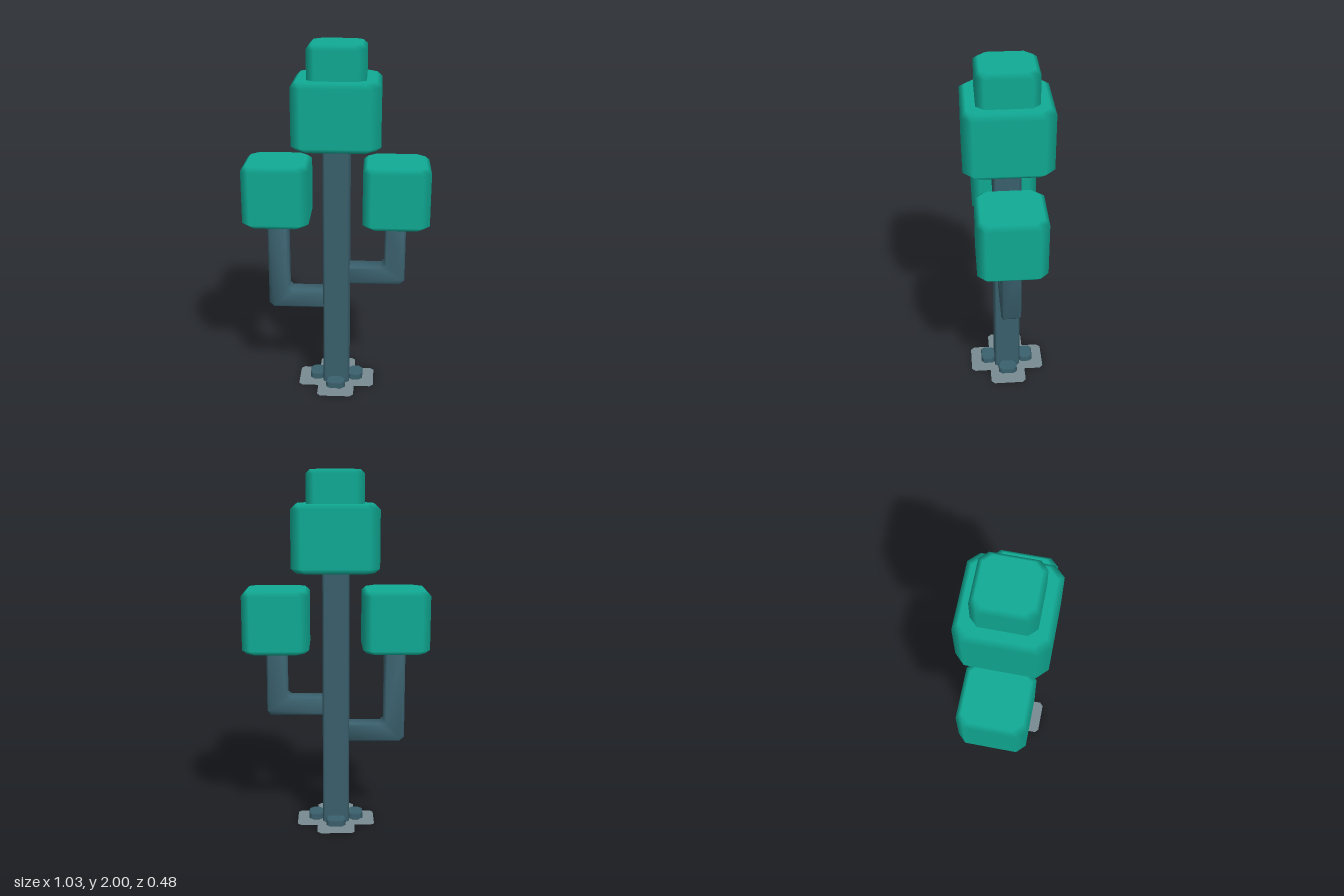
import * as THREE from 'three';
import { toCreasedNormals } from 'three/addons/utils/BufferGeometryUtils.js';

// Block with cut corners (c) in plan and bevelled top and bottom edges (e).
// Normals follow the six main faces, so the bevels shade softly.
function block(w, d, y0, y1, c, e) {
  const pos = [], nor = [], idx = [];
  const rings = [[y0, e, -1], [y0 + e, 0, 0], [y1 - e, 0, 0], [y1, e, 1]];
  for (const [y, inset, ny] of rings) {
    const a = w - inset, b = d - inset;
    const plan = [
      [a, c - b, 1, 0], [a, b - c, 1, 0], [a - c, b, 0, 1], [c - a, b, 0, 1],
      [-a, b - c, -1, 0], [-a, c - b, -1, 0], [c - a, -b, 0, -1], [a - c, -b, 0, -1],
    ];
    for (const [x, z, nx, nz] of plan) {
      pos.push(x, y, z);
      if (ny) nor.push(0, ny, 0);
      else nor.push(nx, 0, nz);
    }
  }
  for (let r = 0; r < 3; r++) {
    for (let i = 0; i < 8; i++) {
      const j = (i + 1) % 8, p = r * 8 + i, q = r * 8 + j;
      idx.push(p, p + 8, q + 8, p, q + 8, q);
    }
  }
  for (let i = 1; i < 7; i++) idx.push(0, i, i + 1, 24, 24 + i + 1, 24 + i);
  const g = new THREE.BufferGeometry();
  g.setAttribute('position', new THREE.Float32BufferAttribute(pos, 3));
  g.setAttribute('normal', new THREE.Float32BufferAttribute(nor, 3));
  g.setIndex(idx);
  return g;
}

// Elbow branch: leaves the trunk sideways at height y, then turns upward.
function branchGeometry(side, y) {
  const bevel = 0.01, inner = 0.272, outer = 0.388, h = 0.105, top = 1.05;
  const pts = [
    [0.04, y], [outer - 0.025, y], [outer, y + 0.025], [outer, top],
    [inner, top], [inner, y + h + 0.018], [inner - 0.018, y + h], [0.04, y + h],
  ].map(([x, v]) => new THREE.Vector2(side * x, v));
  const depth = 0.108 - 2 * bevel;
  const g = new THREE.ExtrudeGeometry(new THREE.Shape(pts), {
    depth, bevelEnabled: true, bevelSize: bevel, bevelOffset: -bevel,
    bevelThickness: bevel, bevelSegments: 1,
  });
  g.translate(0, 0, -depth / 2);
  return toCreasedNormals(g, 0.9);
}

// Flat cross with clipped lobe corners.
function crossGeometry(a, b, c) {
  const pts = [];
  for (let k = 0; k < 4; k++) {
    for (const [x, y] of [[b, -b], [a - c, -b], [a, c - b], [a, b - c], [a - c, b]]) {
      pts.push(new THREE.Vector2(x, y).rotateAround(new THREE.Vector2(), k * Math.PI / 2));
    }
  }
  return new THREE.ShapeGeometry(new THREE.Shape(pts)).rotateX(-Math.PI / 2);
}

export function createModel() {
  const model = new THREE.Group();
  model.name = 'blockTree';
  const material = (name, color, side = THREE.FrontSide) => {
    const m = new THREE.MeshStandardMaterial({ color, side });
    m.name = name;
    return m;
  };
  const leaf = material('teal leaves', 0x10aa94);
  const bark = material('slate bark', 0x3a606d);
  const ground = material('pale slate ground', 0x788b92, THREE.DoubleSide);
  const add = (name, geometry, mat, x = 0, y = 0, z = 0) => {
    const mesh = new THREE.Mesh(geometry, mat);
    mesh.name = name;
    mesh.position.set(x, y, z);
    model.add(mesh);
    return mesh;
  };

  // Trunk
  add('trunk', block(0.075, 0.076, 0.005, 1.5, 0.012, 0.004), bark);

  // Branches, the right one leaving lower, each with its leaf cube
  for (const [label, side, y] of [['left', 1, 0.64], ['right', -1, 0.485]]) {
    add(label + 'Branch', branchGeometry(side, y), bark);
    add(label + 'Leaves', block(0.183, 0.184, 1.01, 1.355, 0.045, 0.024), leaf, side * 0.33);
  }

  // Crown
  add('crown', block(0.237, 0.238, 1.455, 1.82, 0.055, 0.028), leaf, 0.004);
  add('crownCap', block(0.157, 0.163, 1.78, 2, 0.042, 0.024), leaf, 0.004);

  // Root feet around the trunk
  for (let k = 0; k < 4; k++) {
    const angle = k * Math.PI / 2;
    const foot = add('rootFoot', block(0.055, 0.042, 0.01, 0.048, 0.018, 0.006), bark,
      Math.sin(angle) * 0.112, 0, Math.cos(angle) * 0.115);
    foot.rotation.y = angle;
  }

  // Thin ground patch
  add('groundPatch', crossGeometry(0.22, 0.105, 0.02), ground, 0, 0.001, 0);
  return model;
}
